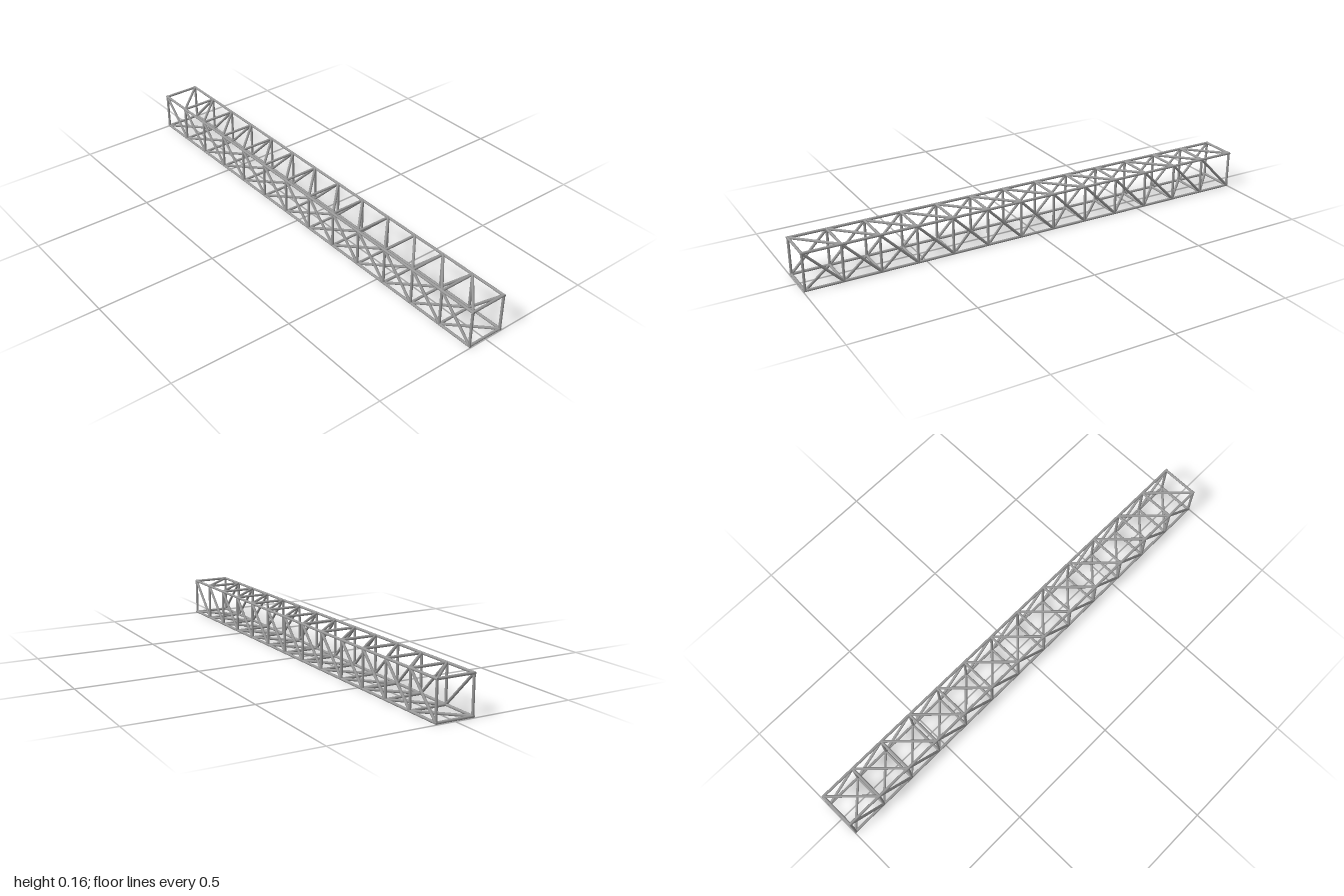
import * as THREE from 'three';

const BAYS = 13;
const PITCH = 0.153;          // bay length, also the square's side between chord centres
const HALF = PITCH / 2;
const RADIUS = 0.0055;        // every tube has the same radius

export function createModel() {
  const group = new THREE.Group();
  group.name = 'boxTruss';
  const steel = new THREE.MeshStandardMaterial({ color: 0x999999 });
  steel.name = 'grey steel';

  const up = new THREE.Vector3(0, 1, 0);
  // round tube between two points
  function tube(name, a, b, parent) {
    const dir = b.clone().sub(a);
    const mesh = new THREE.Mesh(new THREE.CylinderGeometry(RADIUS, RADIUS, dir.length(), 10), steel);
    mesh.name = name;
    mesh.position.copy(a).add(b).multiplyScalar(0.5);
    mesh.quaternion.setFromUnitVectors(up, dir.normalize());
    parent.add(mesh);
  }

  // the four faces of the box are one panel turned about the long axis
  const faces = ['topPanel', 'leftPanel', 'bottomPanel', 'rightPanel'];
  faces.forEach((name, f) => {
    const panel = new THREE.Group();
    panel.name = name;
    panel.position.y = HALF + RADIUS;
    panel.rotation.z = -f * Math.PI / 2;
    group.add(panel);
    const p = (side, z) => new THREE.Vector3(side * HALF, HALF, z);

    // one long corner chord per panel
    tube('chord', p(1, -1), p(1, 1), panel);

    for (let i = 0; i <= BAYS; i++) {
      const z = (i - BAYS / 2) * PITCH;
      // cross bar at each bay end
      tube('crossBar', p(-1, z), p(1, z), panel);
      // one brace per bay, all leaning the same way round the box
      if (i < BAYS) tube('diagonalBrace', p(1, z), p(-1, z + PITCH), panel);
    }
  });
  return group;
}
